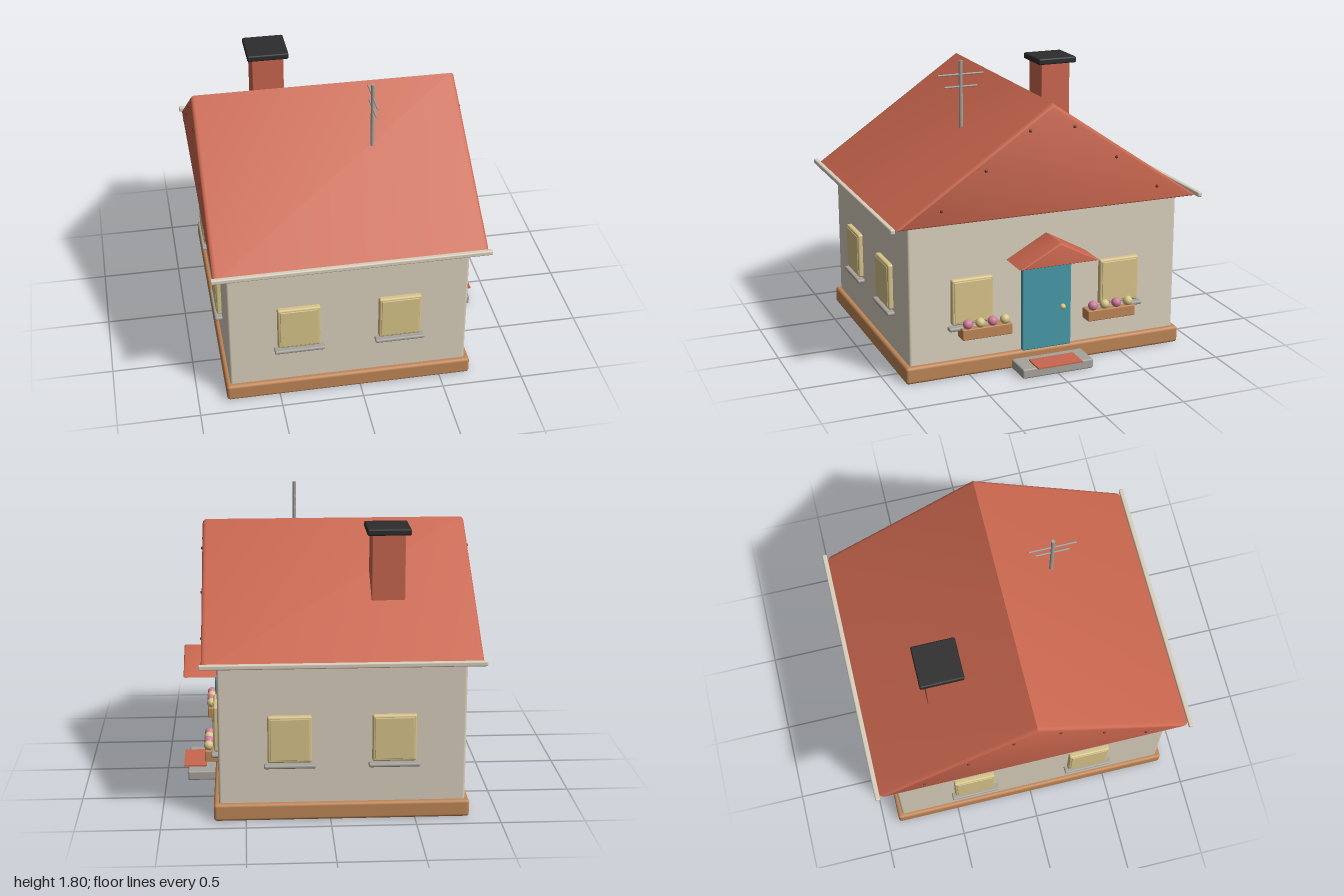
import * as THREE from 'three';
import { RoundedBoxGeometry } from 'three/addons/geometries/RoundedBoxGeometry.js';
import { toCreasedNormals } from 'three/addons/utils/BufferGeometryUtils.js';

const mat = (name, color) => {
  const m = new THREE.MeshStandardMaterial({ color });
  m.name = name;
  return m;
};

export function createModel() {
  const plaster = mat('plaster', 0xd9d0bd);
  const tile = mat('roof red', 0xc9664e);
  const wood = mat('brown wood', 0xbf8657);
  const glass = mat('warm glass', 0xd8c48a);
  const stone = mat('grey stone', 0xa6a39c);
  const black = mat('black', 0x2c2c2c);
  const teal = mat('teal', 0x4798a6);
  const pink = mat('pink', 0xd07e9c);
  const nailBrown = mat('dark brown', 0x6e3a2c);

  const house = new THREE.Group();
  house.name = 'house';

  const add = (name, geometry, material, x, y, z, parent = house) => {
    const mesh = new THREE.Mesh(geometry, material);
    mesh.name = name;
    mesh.position.set(x, y, z);
    parent.add(mesh);
    return mesh;
  };

  // Softened box given by its minimum and maximum corners
  const block = (name, material, [x0, y0, z0], [x1, y1, z1], r = 0.01, parent = house) =>
    add(name, new RoundedBoxGeometry(x1 - x0, y1 - y0, z1 - z0, 2, r), material,
      (x0 + x1) / 2, (y0 + y1) / 2, (z0 + z1) / 2, parent);

  // Triangular prism along x with bevelled ends
  const gable = (name, halfWidth, y0, y1, x0, x1, bevel) => {
    const shape = new THREE.Shape();
    shape.moveTo(-halfWidth, y0);
    shape.lineTo(halfWidth, y0);
    shape.lineTo(0, y1);
    shape.closePath();
    const geometry = new THREE.ExtrudeGeometry(shape, {
      depth: x1 - x0 - 2 * bevel, bevelEnabled: true, bevelSegments: 3,
      bevelSize: bevel, bevelThickness: bevel, bevelOffset: -bevel,
    });
    geometry.rotateY(Math.PI / 2);
    return add(name, toCreasedNormals(geometry, 0.6), tile, x0 + bevel, 0, 0);
  };

  // Body
  block('base', wood, [-0.825, 0, -0.9], [0.69, 0.105, 0.9], 0.018);
  block('walls', plaster, [-0.8, 0.03, -0.87], [0.66, 0.99, 0.87], 0.015);

  // Roof with a gutter along each eave and nails on both gables
  gable('roof', 0.97, 0.972, 1.637, -0.88, 0.745, 0.025);
  for (const s of [-1, 1]) {
    const z = s * 0.985;
    block('gutter', plaster, [-0.895, 0.964, z - 0.015], [0.76, 0.994, z + 0.015], 0.008);
    for (const x of [-0.88, 0.745]) {
      for (const [nz, ny] of [[0.69, 1.065], [0.415, 1.275], [0.14, 1.485]]) {
        add('nail', new THREE.SphereGeometry(0.01, 10, 8), nailBrown, x, ny, s * nz);
      }
    }
  }

  // Chimney
  block('chimney', tile, [-0.46, 1.2, -0.565], [-0.26, 1.65, -0.365], 0.005);
  block('chimneyCap', black, [-0.49, 1.645, -0.6], [-0.23, 1.685, -0.335], 0.01);

  // Antenna
  add('antennaMast', new THREE.CylinderGeometry(0.012, 0.012, 0.42, 12), stone, 0.165, 1.595, 0.35);
  for (const [y, length] of [[1.72, 0.29], [1.645, 0.21]]) {
    add('antennaBar', new THREE.CylinderGeometry(0.006, 0.006, length, 8), stone, 0.165, y, 0.35)
      .rotation.x = Math.PI / 2;
  }

  // Windows: pane and sill, facing local +z
  const addWindow = (x, y, z, turn) => {
    const group = new THREE.Group();
    group.name = 'window';
    group.position.set(x, y, z);
    group.rotation.y = turn;
    block('windowFrame', glass, [-0.13, 0, -0.02], [0.13, 0.285, 0.03], 0.012, group);
    block('windowPane', glass, [-0.115, 0.015, 0.02], [0.115, 0.27, 0.034], 0.004, group);
    block('windowSill', stone, [-0.152, -0.032, -0.02], [0.152, -0.008, 0.046], 0.01, group);
    house.add(group);
  };
  for (const x of [-0.375, 0.24]) {
    addWindow(x, 0.36, 0.87, 0);
    addWindow(x, 0.36, -0.87, Math.PI);
  }
  for (const s of [-1, 1]) {
    addWindow(0.66, 0.33, s * 0.48, Math.PI / 2);
    addWindow(-0.8, 0.36, s * 0.375, -Math.PI / 2);
  }

  // Door, knob and canopy
  block('door', teal, [0.64, 0.1, -0.16], [0.685, 0.645, 0.16], 0.008);
  add('doorKnob', new THREE.SphereGeometry(0.018, 16, 12), glass, 0.695, 0.355, -0.1);
  gable('canopy', 0.255, 0.69, 0.83, 0.65, 0.877, 0.012);

  // Step and mat
  block('step', stone, [0.68, 0, -0.23], [0.865, 0.06, 0.23], 0.01);
  add('doorMat', new THREE.BoxGeometry(0.145, 0.009, 0.29), tile, 0.8215, 0.0655, 0);

  // Flower boxes
  for (const s of [-1, 1]) {
    const z = s * 0.407;
    block('flowerBox', wood, [0.65, 0.25, z - 0.158], [0.745, 0.318, z + 0.158], 0.006);
    for (let i = 0; i < 4; i++) {
      add('flower', new THREE.SphereGeometry(0.03, 16, 12), i % 2 ? glass : pink,
        0.722, 0.343, z + 0.118 - i * 0.0785);
    }
  }

  return house;
}
